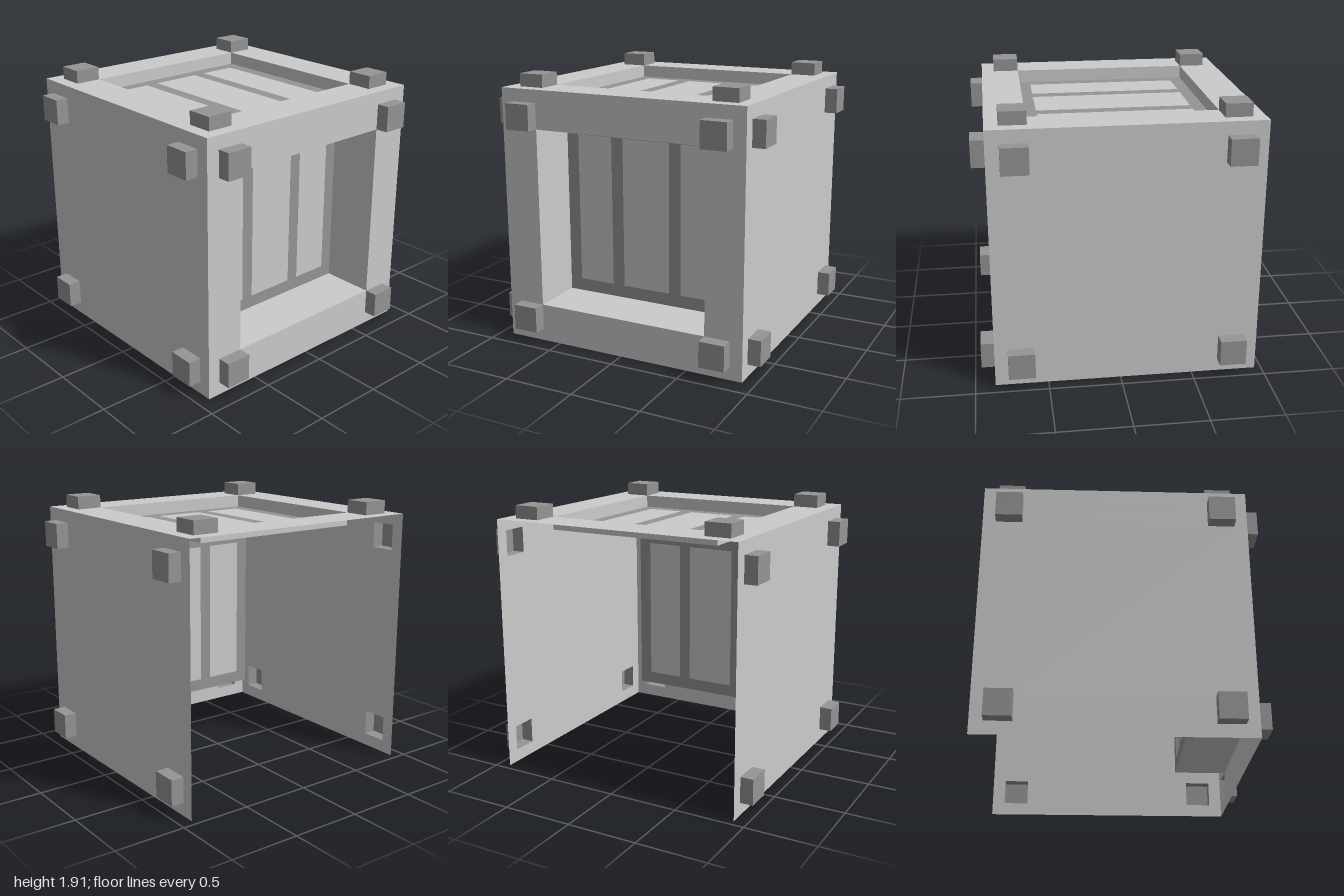
import * as THREE from 'three';

const U = 1 / 11;        // grid unit
const HALF = 10 * U;     // half the cube edge
const CZ = -U / 2;       // centre of the cube in z

const light = new THREE.MeshStandardMaterial({ color: 0xcccccc, side: THREE.DoubleSide, flatShading: true });
const dark = new THREE.MeshStandardMaterial({ color: 0x959595, side: THREE.DoubleSide, flatShading: true });

function rect(Type, x0, y0, x1, y1) {
  const p = new Type();
  p.moveTo(x0, y0);
  p.lineTo(x1, y0);
  p.lineTo(x1, y1);
  p.lineTo(x0, y1);
  p.closePath();
  return p;
}

// Box that keeps only its first faces (order: +x -x +y -y +z -z)
function openBox(w, h, d, faces) {
  const g = new THREE.BoxGeometry(w, h, d);
  g.setIndex(Array.from(g.index.array).slice(0, faces * 6));
  g.clearGroups();
  return g;
}

function add(group, name, geometry, material, x = 0, y = 0, z = 0) {
  const mesh = new THREE.Mesh(geometry, material);
  mesh.name = name;
  mesh.position.set(x, y, z);
  group.add(mesh);
}

// One cube side facing local +z; depth > 0 adds a recessed slatted panel
function makeSide(name, depth) {
  const side = new THREE.Group();
  side.name = name;

  // Wall sheet with hollow corner studs
  const wall = rect(THREE.Shape, -HALF, -HALF, HALF, HALF);
  for (const sx of [-1, 1]) {
    for (const sy of [-1, 1]) {
      const x = sx * 8 * U, y = sy * 8 * U;
      wall.holes.push(rect(THREE.Path, x - U, y - U, x + U, y + U));
      add(side, 'cornerStud', openBox(2 * U, 2 * U, U, 5), dark, x, y, HALF + U / 2);
    }
  }

  if (depth > 0) {
    // Cross-shaped remainder: the opening touches the stud corners, so inset it a hair
    const o = 7 * U - 0.0005;
    wall.holes.push(rect(THREE.Path, -o, -o, o, o));
    add(side, 'recessWalls', openBox(14 * U, 14 * U, depth, 4), light, 0, 0, HALF - depth / 2);

    // Panel frame and the slats that fill it
    const frame = rect(THREE.Shape, -7 * U, -7 * U, 7 * U, 7 * U);
    for (const [a, b] of [[-6, -3], [-2, 2], [3, 6]]) {
      frame.holes.push(rect(THREE.Path, a * U, -6 * U, b * U, 6 * U));
      add(side, 'slat', new THREE.PlaneGeometry((b - a) * U, 12 * U), light,
        (a + b) / 2 * U, 0, HALF - depth);
    }
    add(side, 'panelFrame', new THREE.ShapeGeometry(frame), dark, 0, 0, HALF - depth);
  }

  add(side, 'wall', new THREE.ShapeGeometry(wall), light, 0, 0, HALF);
  return side;
}

export function createModel() {
  const model = new THREE.Group();
  model.name = 'crateShell';

  const front = makeSide('frontSide', 0.385);
  const top = makeSide('topSide', U);
  top.rotation.x = -Math.PI / 2;
  const left = makeSide('leftSide', 0);
  left.rotation.y = Math.PI / 2;
  const right = makeSide('rightSide', 0);
  right.rotation.y = -Math.PI / 2;

  // Back and underside stay open
  for (const side of [front, top, left, right]) {
    side.position.set(0, HALF, CZ);
    model.add(side);
  }
  return model;
}
